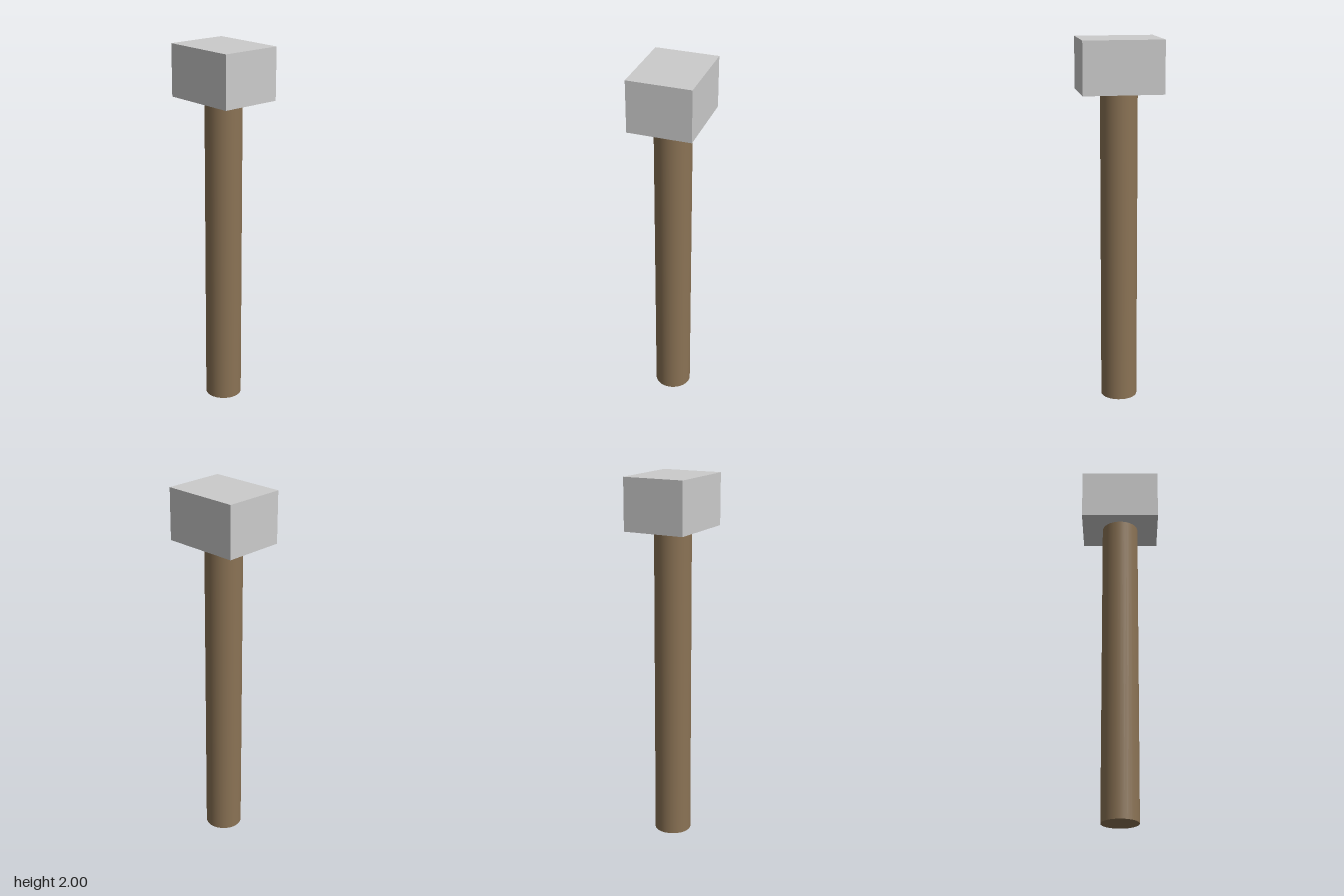
import * as THREE from 'three';

const HEAD = { width: 0.428, height: 0.28, depth: 0.342 };
const HANDLE = { radius: 0.1, length: 1.72 };

export function createModel() {
  const model = new THREE.Group();
  model.name = 'mallet';

  const add = (name, geometry, color, y) => {
    const mesh = new THREE.Mesh(geometry, new THREE.MeshStandardMaterial({ color }));
    mesh.name = name;
    mesh.position.y = y;
    model.add(mesh);
  };

  // Round wooden handle, standing on the ground
  add('handle', new THREE.CylinderGeometry(HANDLE.radius, HANDLE.radius, HANDLE.length, 32),
    0x8b7355, HANDLE.length / 2);

  // Block head resting on the handle's end
  add('head', new THREE.BoxGeometry(HEAD.width, HEAD.height, HEAD.depth),
    0xcccccc, HANDLE.length + HEAD.height / 2);

  return model;
}
